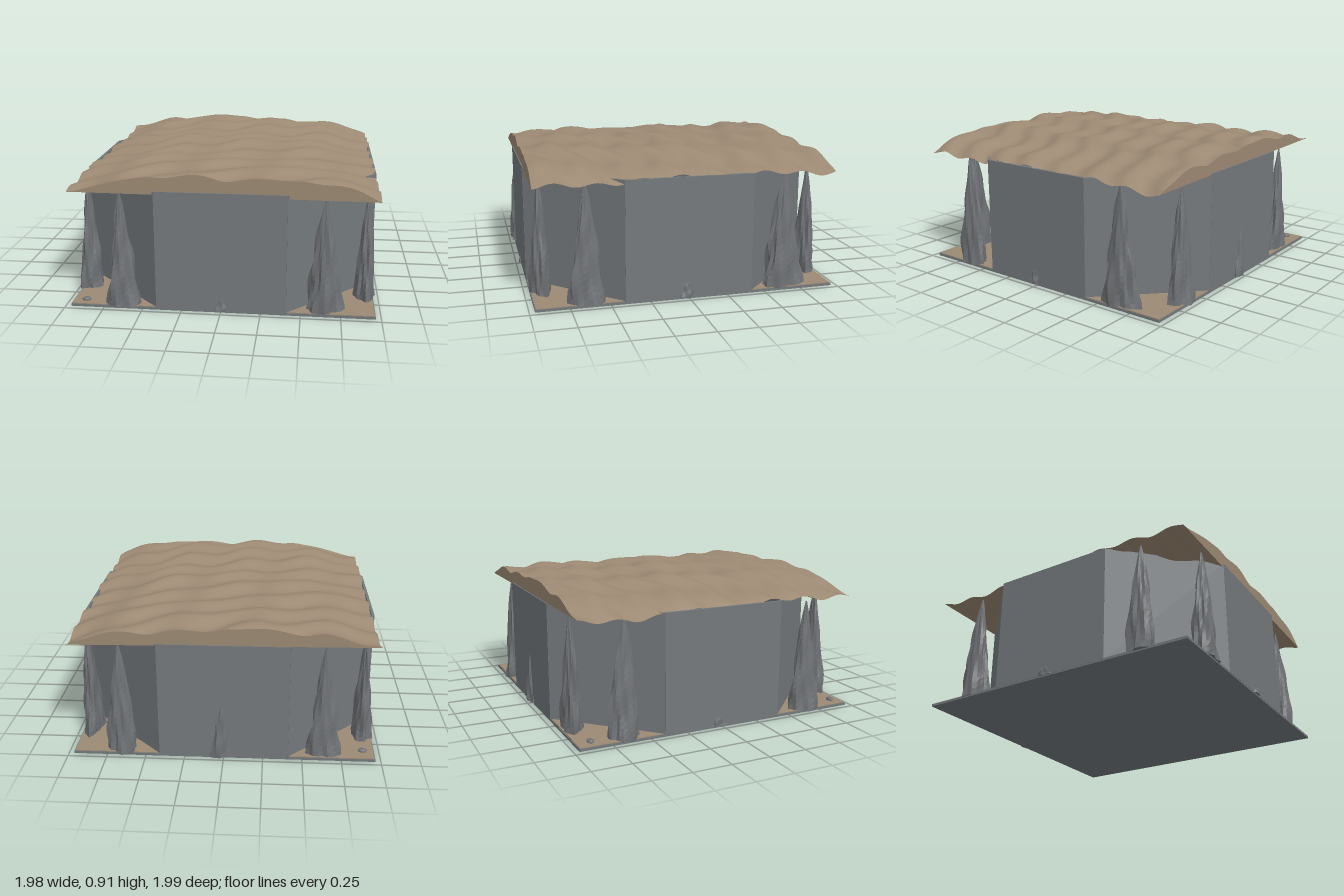
import * as THREE from 'three';

const wallMat = new THREE.MeshStandardMaterial({ color: 0x74797c });
const rockMat = new THREE.MeshStandardMaterial({ color: 0x707376, flatShading: true });
const earthMat = new THREE.MeshStandardMaterial({ color: 0x9c8973, side: THREE.DoubleSide });
wallMat.name = 'greyStone';
rockMat.name = 'darkRock';
earthMat.name = 'brownEarth';

const HALF = 0.96;   // half width of the room
const WALL_H = 0.78;

function add(parent, name, geo, mat, x = 0, y = 0, z = 0) {
  const mesh = new THREE.Mesh(geo, mat);
  mesh.name = name;
  mesh.position.set(x, y, z);
  parent.add(mesh);
  return mesh;
}

// Height of the arched roof with slanted ripples
function roofHeight(x, z) {
  const arch = 0.882 - 0.113 * Math.pow(Math.abs(x) / HALF, 3);
  const ripple = 0.013 * Math.sin(24 * z + 7 * x + 0.9 * Math.sin(13 * x));
  const swell = 0.009 * Math.sin(14 * x + 3 * z + 1) + 0.009 * Math.sin(9 * z - 2 * x + 2);
  return arch + ripple + swell;
}

// Grid sheet over the room whose height follows a rule
function sheet(rule, nx, nz) {
  const geo = new THREE.PlaneGeometry(2 * HALF, 2 * HALF, nx, nz).rotateX(-Math.PI / 2);
  const p = geo.attributes.position;
  for (let i = 0; i < p.count; i++) p.setY(i, rule(p.getX(i), p.getZ(i)));
  geo.computeVertexNormals();
  return geo;
}

// Straight line between the two side edges of the roof
function ceilingHeight(x, z) {
  const k = (x + HALF) / (2 * HALF);
  return roofHeight(-HALF, z) * (1 - k) + roofHeight(HALF, z) * k;
}

// Flat end of the roof, filling arch to chord
function gable(z) {
  const geo = new THREE.PlaneGeometry(2 * HALF, 1, 80, 1);
  const p = geo.attributes.position;
  for (let i = 0; i < p.count; i++) {
    const x = p.getX(i);
    p.setXYZ(i, x, p.getY(i) > 0 ? roofHeight(x, z) : ceilingHeight(x, z), z);
  }
  if (z < 0) geo.rotateY(0).index.array.reverse();
  geo.computeVertexNormals();
  return geo;
}

// Jagged tapering rock
function rockSpike(width, depth, height, seed) {
  const geo = new THREE.CylinderGeometry(1, 1, 1, 20, 18);
  const p = geo.attributes.position;
  for (let i = 0; i < p.count; i++) {
    const t = p.getY(i) + 0.5;
    const x = p.getX(i), z = p.getZ(i);
    const a = Math.atan2(z, x);
    const taper = Math.max(0.04, Math.pow(1 - t, 0.72));
    const rough = 0.88 + 0.13 * Math.sin(3 * a + seed + 4 * t)
      + 0.09 * Math.sin(7 * a + 2 * seed - 9 * t)
      + 0.06 * Math.sin(17 * t + seed + 2 * a);
    const lean = 0.1 * Math.sin(seed * 3 + 4 * t) * t * (1 - t);
    p.setXYZ(i, (x * taper * rough + lean) * width / 2, t * height, z * taper * rough * depth / 2);
  }
  geo.computeVertexNormals();
  return geo;
}

export function createModel() {
  const model = new THREE.Group();
  model.name = 'caveRoom';

  // Floor slab with earth on top
  add(model, 'floorSlab', new THREE.BoxGeometry(1.93, 0.016, 1.93), wallMat, 0, 0.008, 0);
  add(model, 'floorEarth', new THREE.BoxGeometry(1.92, 0.004, 1.92), earthMat, 0, 0.018, 0);

  // Eight wall panels
  const walls = new THREE.Group();
  walls.name = 'walls';
  model.add(walls);
  for (let i = 0; i < 4; i++) {
    const side = new THREE.Group();
    side.name = 'wallSide' + (i + 1);
    side.rotation.y = i * Math.PI / 2;
    walls.add(side);
    add(side, 'straightWall', new THREE.BoxGeometry(0.82, WALL_H - 0.01, 0.018), wallMat, 0, WALL_H / 2 + 0.005, 0.958);
    const diagonal = add(side, 'cornerWall', new THREE.BoxGeometry(0.785, WALL_H - 0.01, 0.018), wallMat,
      0.682, WALL_H / 2 + 0.004, 0.682);
    diagonal.rotation.y = Math.PI / 4;
  }

  // Roof
  const roof = new THREE.Group();
  roof.name = 'roof';
  roof.position.x = 0.005;
  model.add(roof);
  add(roof, 'roofTop', sheet(roofHeight, 80, 110), earthMat);
  add(roof, 'ceiling', sheet(ceilingHeight, 1, 110), earthMat);
  add(roof, 'frontGable', gable(HALF), earthMat);
  add(roof, 'backGable', gable(-HALF), earthMat);

  // Rock spikes: side turn, offset along the side, distance out, width, depth, height
  const spikes = [
    [0, -0.635, 0.915, 0.22, 0.17, 0.75], [0, 0.645, 0.895, 0.25, 0.15, 0.75], [0, -0.01, 0.95, 0.15, 0.06, 0.17],
    [1, -0.645, 0.91, 0.24, 0.15, 0.76], [1, 0.64, 0.905, 0.29, 0.15, 0.75], [1, -0.02, 0.95, 0.14, 0.07, 0.17],
    [2, -0.655, 0.905, 0.22, 0.16, 0.74], [2, 0.63, 0.895, 0.23, 0.15, 0.75], [2, -0.02, 0.945, 0.17, 0.11, 0.5],
    [3, -0.65, 0.9, 0.24, 0.15, 0.75], [3, 0.64, 0.915, 0.22, 0.16, 0.74], [3, -0.02, 0.945, 0.14, 0.07, 0.17],
  ];
  const rocks = new THREE.Group();
  rocks.name = 'rockSpikes';
  model.add(rocks);
  spikes.forEach(([turn, along, out, w, d, h], i) => {
    const pivot = new THREE.Group();
    pivot.name = 'spikePivot' + (i + 1);
    pivot.rotation.y = turn * Math.PI / 2;
    rocks.add(pivot);
    add(pivot, 'rockSpike', rockSpike(w, d, h, i * 1.7 + 0.6), rockMat, along, 0.01, out);
  });

  // Pebbles on the corner floors
  for (const [x, z] of [[-0.88, 0.9], [-0.89, -0.87]]) {
    const pebble = add(model, 'pebble', new THREE.IcosahedronGeometry(0.025, 1), rockMat, x, 0.025, z);
    pebble.scale.set(1.2, 0.6, 0.9);
  }
  return model;
}
